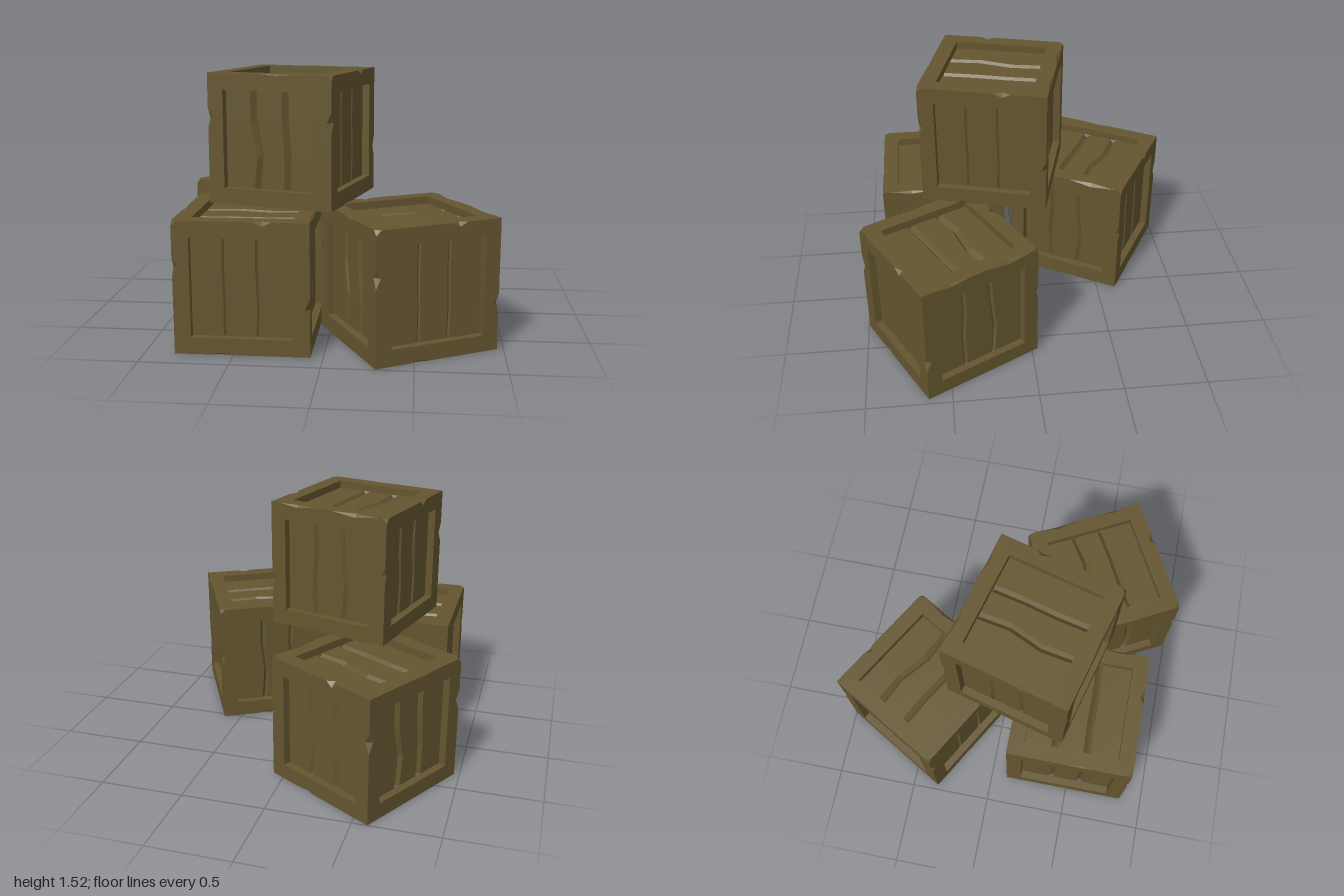
import * as THREE from 'three';
import { mergeGeometries } from 'three/addons/utils/BufferGeometryUtils.js';

const H = 0.38;       // half crate size
const I = 0.285;      // half size of the recessed panel
const DEPTH = 0.045;  // panel recess
const V = (x, y, z) => new THREE.Vector3(x, y, z);
const wood = new THREE.MeshStandardMaterial({ color: 0x64552f, flatShading: true });

// Each face: normal n, across u, along the planks v, two wavy grooves (offset in u along v), half width
const FACES = [
  { n: V(0, 0, 1), u: V(1, 0, 0), v: V(0, 1, 0), w: 0.01, g: [[-0.1, -0.098, -0.104, -0.1], [0.085, 0.09, 0.083, 0.087]] },
  { n: V(0, 0, -1), u: V(-1, 0, 0), v: V(0, 1, 0), w: 0.015, g: [[-0.1, -0.085, -0.105, -0.1], [0.09, 0.1, 0.08, 0.09]] },
  { n: V(1, 0, 0), u: V(0, 0, -1), v: V(0, 1, 0), w: 0.014, g: [[-0.1, -0.108, -0.095, -0.1], [0.09, 0.105, 0.085, 0.075]] },
  { n: V(-1, 0, 0), u: V(0, 0, 1), v: V(0, 1, 0), w: 0.022, g: [[-0.09, -0.07, -0.11, -0.11], [0.095, 0.1, 0.085, 0.085]] },
  { n: V(0, 1, 0), u: V(0, 0, 1), v: V(1, 0, 0), w: 0.023, g: [[-0.1, -0.115, -0.08, -0.095], [0.095, 0.088, 0.09, 0.083]] },
  { n: V(0, -1, 0), u: V(0, 0, -1), v: V(1, 0, 0), w: 0.014, g: [[-0.095, -0.1, -0.09, -0.095], [0.09, 0.085, 0.095, 0.09]] },
];

// Chipped edges: centre point, half length, depth
const CHIPS = [
  [V(-H, 0.12, H), 0.06, 0.03], [V(H, -0.11, H), 0.06, 0.03],
  [V(-H, 0.12, -H), 0.06, 0.03], [V(H, 0.05, -H), 0.05, 0.02],
  [V(0.12, H, H), 0.05, 0.025], [V(-0.1, H, -H), 0.04, 0.03],
  [V(H, H, -0.18), 0.15, 0.02], [V(H, H, 0.2), 0.12, 0.015],
  [V(-H, H, 0.05), 0.1, 0.008],
  [V(-0.12, -H, H), 0.06, 0.012], [V(0.1, -H, -H), 0.06, 0.012],
].map(([p, len, depth]) => {
  const on = FACES.filter(f => Math.abs(f.n.dot(p) - H) < 1e-6);
  const axis = on[0].n.clone().cross(on[1].n);
  const ends = [-1, 1].map(s => p.clone().addScaledVector(axis, s * len));
  // dent points: one lying on each of the two faces
  const dents = on.map((f, i) => p.clone().addScaledVector(on[1 - i].n, -depth));
  return { on, ends, dents };
});

// Chipped corners: position and cut size
const CORNERS = [[V(-H, H, H), 0.03], [V(H, H, -H), 0.028]];

// Geometry from triangles, turned to face the given outward direction
function addTri(out, a, b, c, dir) {
  const nor = b.clone().sub(a).cross(c.clone().sub(a));
  const order = nor.dot(dir) >= 0 ? [a, b, c] : [a, c, b];
  order.forEach(p => out.push(p.x, p.y, p.z));
}
function addQuad(out, a, b, c, d, dir) {
  addTri(out, a, b, c, dir);
  addTri(out, a, c, d, dir);
}
function soup(positions) {
  const g = new THREE.BufferGeometry();
  g.setAttribute('position', new THREE.Float32BufferAttribute(positions, 3));
  g.computeVertexNormals();
  return g;
}

// Outline of one face, with chipped edges and corners
function faceOutline(f) {
  const corner = ([a, b]) => f.n.clone().multiplyScalar(H).addScaledVector(f.u, a * H).addScaledVector(f.v, b * H);
  const signs = [[-1, -1], [1, -1], [1, 1], [-1, 1]];
  const pts = [];
  signs.forEach((s, i) => {
    const a = corner(s), b = corner(signs[(i + 1) % 4]);
    const dir = b.clone().sub(a).normalize();
    const cut = p => (CORNERS.find(c => c[0].distanceTo(p) < 1e-6) || [0, 0])[1];
    const row = [a.clone().addScaledVector(dir, cut(a))];
    const mid = a.clone().add(b).normalize();
    CHIPS.forEach(c => {
      const k = c.on.indexOf(f);
      if (k < 0 || c.on[1 - k].n.dot(mid) < 0.1) return;
      row.push(c.ends[0], c.dents[k], c.ends[1]);
    });
    if (cut(b)) row.push(b.clone().addScaledVector(dir, -cut(b)));
    row.sort((p, q) => p.dot(dir) - q.dot(dir));
    pts.push(...row);
  });
  return pts.map(p => new THREE.Vector2(p.dot(f.u), p.dot(f.v)));
}

function frameGeometry() {
  const parts = [], tris = [];
  for (const f of FACES) {
    // flat border with a square opening
    const shape = new THREE.Shape(faceOutline(f));
    const square = [[-I, -I], [-I, I], [I, I], [I, -I]];
    shape.holes.push(new THREE.Path(square.map(([a, b]) => new THREE.Vector2(a, b))));
    const g = new THREE.ShapeGeometry(shape).toNonIndexed();
    g.deleteAttribute('uv');
    g.applyMatrix4(new THREE.Matrix4().makeBasis(f.u, f.v, f.n).setPosition(f.n.clone().multiplyScalar(H)));
    parts.push(g);
    // inner walls of the recess
    const at = ([a, b], h) => f.n.clone().multiplyScalar(h).addScaledVector(f.u, a).addScaledVector(f.v, b);
    square.forEach((s, i) => {
      const t = square[(i + 1) % 4];
      const inward = at([-(s[0] + t[0]), -(s[1] + t[1])], 0);
      addQuad(tris, at(s, H), at(t, H), at(t, H - DEPTH), at(s, H - DEPTH), inward);
    });
  }
  // broken surfaces inside the chips
  for (const { on, ends, dents } of CHIPS) {
    const dir = on[0].n.clone().add(on[1].n);
    ends.forEach(e => addTri(tris, e, dents[0], dents[1], dir));
  }
  for (const [p, r] of CORNERS) {
    const c = ['x', 'y', 'z'].map(k => {
      const q = p.clone();
      q[k] -= Math.sign(q[k]) * r;
      return q;
    });
    addTri(tris, c[0], c[1], c[2], p);
  }
  parts.push(soup(tris));
  return mergeGeometries(parts);
}

// Recessed boards, divided by two wavy V grooves
function planksGeometry() {
  const tris = [];
  for (const { n, u, v, w, g } of FACES) {
    const rows = [-I, -0.1, 0.1, I].map((along, k) => {
      const section = [[-I, 0]];
      g.forEach(line => section.push([line[k] - w, 0], [line[k] + w * 0.15, -w * 1.1], [line[k] + w, 0]));
      section.push([I, 0]);
      return section.map(([a, d]) => n.clone().multiplyScalar(H - DEPTH + d).addScaledVector(u, a).addScaledVector(v, along));
    });
    for (let k = 0; k < 3; k++) {
      for (let i = 0; i < rows[k].length - 1; i++) {
        addQuad(tris, rows[k][i], rows[k][i + 1], rows[k + 1][i + 1], rows[k + 1][i], n);
      }
    }
  }
  return soup(tris);
}

export function createModel() {
  const model = new THREE.Group();
  model.name = 'crateStack';
  const frame = frameGeometry(), planks = planksGeometry();
  // name, x, y, z, turn in degrees
  const crates = [
    ['frontRightCrate', -0.45, H, 0.48, 0],
    ['frontLeftCrate', 0.45, H, 0.48, 28],
    ['backCrate', -0.45, H, -0.48, -30],
    ['topCrate', -0.243, 1.145, 0.145, 75],
  ];
  for (const [name, x, y, z, turn] of crates) {
    const crate = new THREE.Group();
    crate.name = name;
    [['frame', frame], ['planks', planks]].forEach(([part, geometry]) => {
      const mesh = new THREE.Mesh(geometry, wood);
      mesh.name = part;
      crate.add(mesh);
    });
    crate.position.set(x, y, z);
    crate.rotation.y = THREE.MathUtils.degToRad(turn);
    model.add(crate);
  }
  return model;
}
